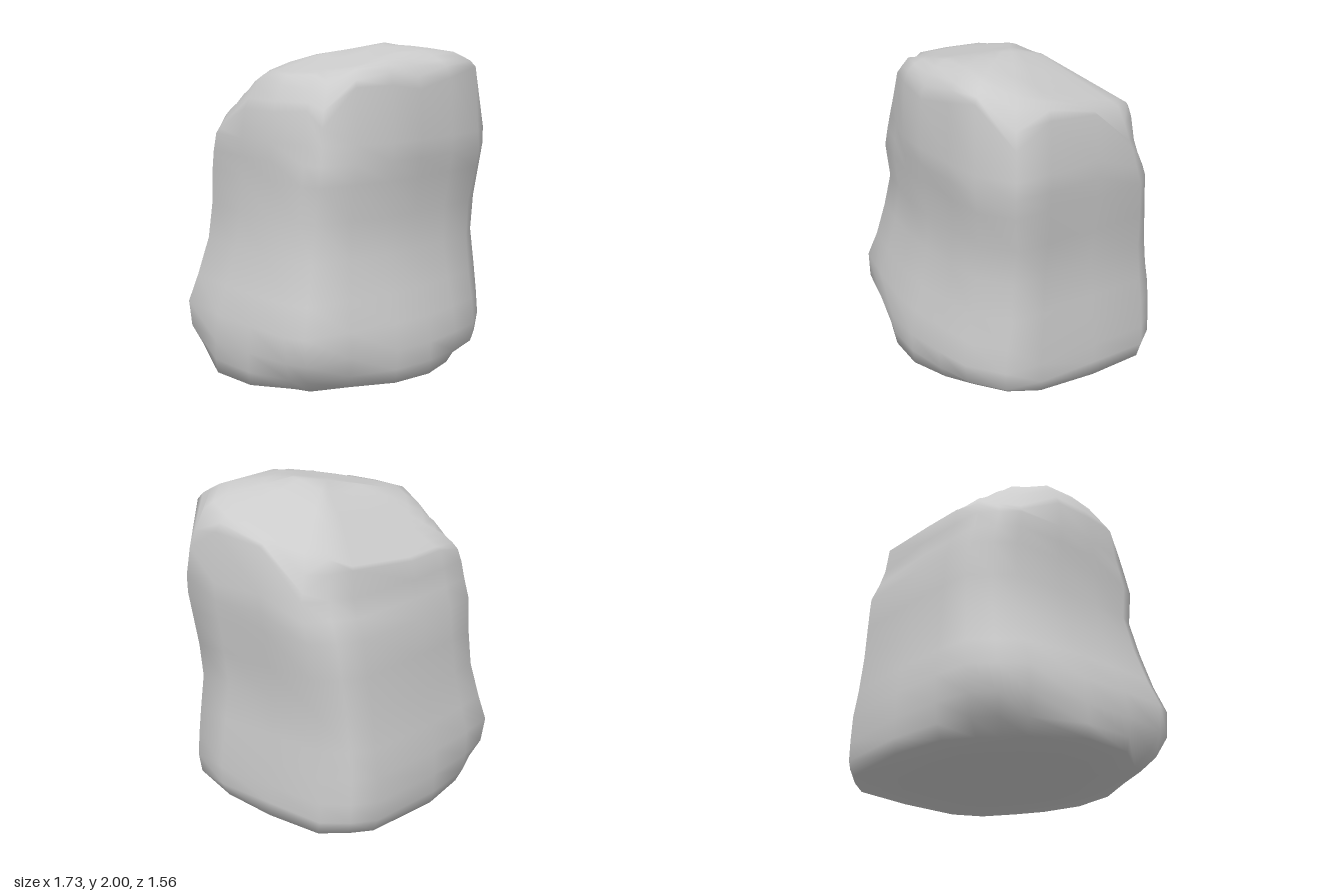
import * as THREE from 'three';
import { mergeVertices } from 'three/addons/utils/BufferGeometryUtils.js';

// Plan outline of the boulder, counterclockwise from above: [x, z]
const outline = [
  [-0.55, -0.76], [-0.68, -0.64], [-0.8, -0.51], [-0.86, -0.13], [-0.87, 0.2], [-0.85, 0.52],
  [-0.8, 0.64], [-0.5, 0.71], [-0.18, 0.77], [0.1, 0.78], [0.38, 0.74], [0.62, 0.69], [0.84, 0.54],
  [0.87, 0.3], [0.85, -0.1], [0.82, -0.48], [0.7, -0.62], [0.57, -0.72], [0.06, -0.78], [-0.3, -0.78],
];

// Body levels: y, extents towards -x, +x, -z, +z,
// then the fullness of the corners (-x +z), (+x -z), (+x +z), (-x -z)
const levels = [
  [0.015, 0.865, 0.84, 0.755, 0.77, 0.82, 1, 0.86, 0.8],
  [0.1, 0.87, 0.84, 0.78, 0.775, 0.91, 1.02, 0.98, 0.88],
  [0.22, 0.865, 0.835, 0.78, 0.78, 0.98, 1.02, 1, 0.96],
  [0.38, 0.845, 0.825, 0.775, 0.75, 1.02, 1.02, 1.01, 1],
  [0.55, 0.78, 0.81, 0.74, 0.7, 1.02, 1.03, 1.03, 1],
  [0.78, 0.705, 0.79, 0.7, 0.65, 1.03, 1.05, 1.06, 1],
  [1.0, 0.67, 0.82, 0.68, 0.64, 1, 1.04, 1.06, 1.01],
  [1.22, 0.655, 0.845, 0.66, 0.66, 1.02, 1.03, 1.08, 1.03],
  [1.34, 0.655, 0.86, 0.62, 0.675, 0.98, 1, 1.08, 1.04],
  [1.45, 0.66, 0.865, 0.6, 0.685, 0.94, 0.97, 1.06, 1.02],
];

// Sloping crown: the lowest of several planes
function crownHeight(x, z) {
  const d = 0.8 * x + 0.6 * z, g = 0.8 * x - 0.6 * z;
  return Math.min(
    2,
    1.83 + 2 * (x + 0.53), 1.83 + 0.21 * (x + 0.53),
    1.75 + 1.9 * (0.845 - x), 1.92 + 0.8 * (0.67 - x), 2 - 0.22 * (x - 0.3),
    1.65 + 2.9 * (0.7 - z), 1.96 + 0.75 * (0.51 - z), 2 - 0.13 * (z - 0.2),
    2 + 0.75 * z,
    // corner bevels
    1.63 + 4.1 * (g + 0.73), 1.91 + 1.47 * (g + 0.54),
    1.69 - 3 * (g - 0.764), 1.83 - 0.5 * (g - 0.49),
    1.39 - 2.8 * (d - 1.05), 1.41 + 1.3 * (d + 0.764),
  );
}

function ringAt([y, minX, maxX, minZ, maxZ, frontNeg, backPos, frontPos, backNeg]) {
  return outline.map(([x, z]) => {
    const u = x / 0.87, v = z / 0.78;
    const corner = z > 0 ? (x > 0 ? frontPos : frontNeg) : (x > 0 ? backPos : backNeg);
    const s = 1 + (corner - 1) * Math.min(1, (u * v) ** 2 / 0.4);
    const limit = (t) => THREE.MathUtils.clamp(t * s, -1, 1);
    return [limit(u) * (x < 0 ? minX : maxX), y, limit(v) * (z < 0 ? minZ : maxZ)];
  });
}

function boulderGeometry() {
  const body = levels.map(ringAt);
  const rim = body[body.length - 1];
  // Flat underside, closed at its centre
  const under = [0, 0.7].map((s) => body[0].map(([x, , z]) => [x * s, 0.008 * s, z * s]));
  // Crown rings shrinking towards the top centre
  const crown = [0.97, 0.93, 0.87, 0.8, 0.71, 0.6, 0.45, 0.25, 0].map((s) => rim.map(([x, , z]) => {
    const px = 0.1 + (x - 0.1) * s, pz = 0.05 + (z - 0.05) * s;
    return [px, crownHeight(px, pz), pz];
  }));
  const rings = [...under, ...body, ...crown];
  const n = outline.length;
  const index = [];
  for (let i = 0; i < rings.length - 1; i++) {
    for (let j = 0; j < n; j++) {
      const k = (j + 1) % n;
      const a = i * n + j, b = i * n + k, c = (i + 1) * n + k, d = (i + 1) * n + j;
      // the first and last rings are single points
      if (i > 0) index.push(a, b, d);
      if (i < rings.length - 2) index.push(b, c, d);
    }
  }
  const geometry = new THREE.BufferGeometry();
  geometry.setAttribute('position', new THREE.Float32BufferAttribute(rings.flat(2), 3));
  geometry.setIndex(index);
  const merged = mergeVertices(geometry, 1e-4);
  merged.computeVertexNormals();
  return merged;
}

export function createModel() {
  const group = new THREE.Group();
  group.name = 'rock';
  const boulder = new THREE.Mesh(boulderGeometry(), new THREE.MeshStandardMaterial({ color: 0xcccccc }));
  boulder.name = 'boulder';
  group.add(boulder);
  return group;
}
